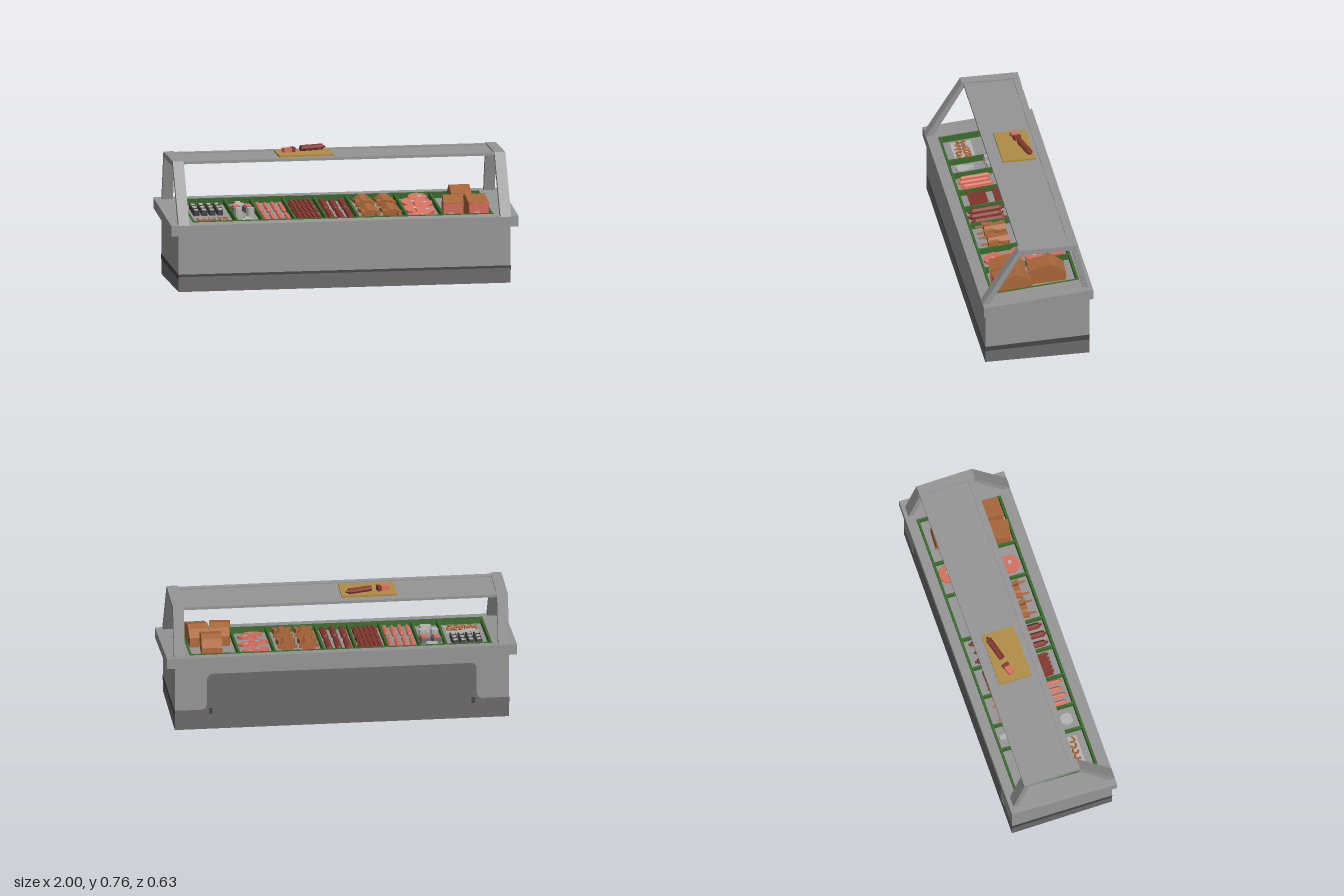
import * as THREE from 'three';

const mat = (name, color) => {
  const m = new THREE.MeshStandardMaterial({ color, flatShading: true });
  m.name = name;
  return m;
};
const M = {
  steel: mat('steel grey', 0x959595),
  base: mat('dark grey', 0x6b6969),
  black: mat('charcoal', 0x464444),
  green: mat('green edging', 0x3a6a2c),
  wood: mat('board wood', 0xb08c46),
  brown: mat('roast brown', 0xa8663a),
  red: mat('dark red meat', 0x84382f),
  pink: mat('pink meat', 0xd8705f),
  pale: mat('pale grey', 0xb4b4b2),
};
const SLOPE = 0.089; // the counter top falls towards the front
const FLOOR = -0.034;

function add(parent, name, geo, material, x = 0, y = 0, z = 0, ry = 0) {
  const m = new THREE.Mesh(geo, material);
  m.name = name;
  m.position.set(x, y, z);
  m.rotation.y = ry;
  parent.add(m);
  return m;
}
const box = (w, h, d) => new THREE.BoxGeometry(w, h, d);
const shapeOf = (pts) => new THREE.Shape(pts.map(([a, b]) => new THREE.Vector2(a, b)));

// extrude a [z, y] side profile along x, from x0 to x1
function sideExtrude(pts, x0, x1) {
  const g = new THREE.ExtrudeGeometry(shapeOf(pts.map(([z, y]) => [-z, y])), { depth: x1 - x0, bevelEnabled: false });
  return g.rotateY(Math.PI / 2).translate(x0, 0, 0);
}
// extrude a flat [x, z] outline upwards
function flatExtrude(shape, h) {
  return new THREE.ExtrudeGeometry(shape, { depth: h, bevelEnabled: false, curveSegments: 8 }).rotateX(-Math.PI / 2);
}
function group(parent, name, x = 0, y = 0, z = 0, ry = 0) {
  const g = new THREE.Group();
  g.name = name;
  g.position.set(x, y, z);
  g.rotation.y = ry;
  parent.add(g);
  return g;
}

function buildCabinet(root) {
  add(root, 'base', sideExtrude([[0.3, 0], [0.3, 0.1], [-0.3, 0.118], [-0.3, 0]], -0.955, 0.955), M.base);
  add(root, 'cabinetBody', sideExtrude([[0.3, 0.1], [0.3, 0.328], [-0.3, 0.381], [-0.3, 0.118]], -0.955, 0.955), M.steel);
  for (const x of [-0.957, 0.955])
    add(root, 'sideStripe', sideExtrude([[0.3, 0.073], [0.3, 0.1], [-0.3, 0.118], [-0.3, 0.087]], x, x + 0.002), M.black);
  add(root, 'frontStripe', box(1.91, 0.014, 0.002), M.black, 0, 0.093, 0.301);

  // rear service panel: rounded top, flared foot
  const s = new THREE.Shape();
  s.moveTo(-0.82, 0.112);
  s.quadraticCurveTo(-0.77, 0.115, -0.77, 0.16);
  s.lineTo(-0.77, 0.295);
  s.quadraticCurveTo(-0.77, 0.335, -0.73, 0.335);
  s.lineTo(0.73, 0.335);
  s.quadraticCurveTo(0.77, 0.335, 0.77, 0.295);
  s.lineTo(0.77, 0.16);
  s.quadraticCurveTo(0.77, 0.115, 0.82, 0.112);
  add(root, 'rearPanel', new THREE.ExtrudeGeometry(s, { depth: 0.003, bevelEnabled: false }), M.base, 0, 0, -0.303);
  for (const x of [-0.75, 0.75]) add(root, 'rearLatch', box(0.02, 0.035, 0.008), M.black, x, 0.11, -0.303);

  // sloping rim with an open middle
  const rim = shapeOf([[-1, -0.315], [1, -0.315], [1, 0.315], [-1, 0.315]]);
  rim.holes.push(new THREE.Path([[-0.865, -0.25], [-0.865, 0.257], [0.865, 0.257], [0.865, -0.25]].map((p) => new THREE.Vector2(...p))));
  const g = flatExtrude(rim, 0.06).translate(0, 0.353, 0);
  const p = g.attributes.position;
  for (let i = 0; i < p.count; i++) p.setY(i, p.getY(i) - SLOPE * p.getZ(i));
  g.computeVertexNormals();
  add(root, 'rim', g, M.steel);
}

function buildCanopy(root) {
  const arch = [[0.316, 0.383], [0.107, 0.72], [-0.225, 0.72], [-0.295, 0.43],
    [-0.265, 0.43], [-0.2, 0.69], [0.095, 0.69], [0.272, 0.387]];
  for (const x of [-0.957, 0.895]) add(root, 'archPost', sideExtrude(arch, x, x + 0.062), M.steel);
  add(root, 'shelf', box(1.8, 0.01, 0.315), M.steel, 0, 0.706, -0.061);
  for (const z of [0.08, -0.205]) add(root, 'shelfRail', box(1.8, 0.016, 0.036), M.steel, 0, 0.708, z);

  // board with sausage and cut pieces
  const b = group(root, 'cuttingBoard', -0.173, 0.711, -0.068);
  add(b, 'board', box(0.315, 0.011, 0.19), M.wood, 0, 0.0055, 0);
  const roll = group(b, 'slicingSausage', 0.05, 0.027, -0.05, 0.27);
  add(roll, 'sausageBody', new THREE.CylinderGeometry(0.018, 0.018, 0.135, 8).rotateZ(Math.PI / 2), M.red);
  add(roll, 'sausageTip', new THREE.CylinderGeometry(0.005, 0.012, 0.02, 6).rotateZ(-Math.PI / 2), M.red, 0.076, 0, 0);
  add(b, 'cutPiece', box(0.05, 0.024, 0.035), M.pink, -0.095, 0.023, -0.015, 0.35);
  add(b, 'cutPiece', box(0.022, 0.026, 0.04), M.red, -0.062, 0.024, -0.026, 0.25);
}

function sausage(parent, x, z, r, len, material) {
  const s = group(parent, 'sausage', x, FLOOR + r, z);
  add(s, 'sausageBody', new THREE.CapsuleGeometry(r, len - 2 * r, 2, 7).rotateX(Math.PI / 2), material);
  for (const e of [-1, 1]) add(s, 'sausageKnot', box(r * 0.6, r * 0.6, 0.012), material, 0, 0, e * (len / 2 + 0.003));
}

function chicken(parent, x, z) {
  const c = group(parent, 'roastChicken', x, FLOOR, z);
  const body = new THREE.CylinderGeometry(0.032, 0.045, 0.12, 7).rotateX(Math.PI / 2).scale(1, 0.75, 1);
  add(c, 'chickenBody', body, M.brown, 0, 0.034, -0.01);
  for (const e of [-1, 1]) {
    add(c, 'chickenThigh', box(0.024, 0.03, 0.06), M.brown, e * 0.038, 0.033, 0.025, e * 0.2);
    add(c, 'chickenLeg', new THREE.CylinderGeometry(0.006, 0.008, 0.05, 5).rotateX(Math.PI / 2), M.brown, e * 0.036, 0.033, 0.07);
    add(c, 'chickenWing', box(0.018, 0.02, 0.045), M.brown, e * 0.042, 0.03, -0.04, -e * 0.3);
  }
}

function roast(parent, x, z, ry) {
  const r = group(parent, 'roastJoint', x, FLOOR, z, ry);
  const profile = [[0.1, 0], [0.1, 0.093], [-0.02, 0.115], [-0.06, 0.095], [-0.105, 0.055], [-0.105, 0]];
  add(r, 'joint', sideExtrude(profile, -0.058, 0.058), M.brown);
  add(r, 'cutFace', box(0.112, 0.09, 0.003), M.pink, 0, 0.046, 0.101);
  add(r, 'bone', box(0.03, 0.025, 0.002), M.pale, -0.01, 0.03, 0.103);
}

function buildTray(root) {
  const t = group(root, 'displayTray', 0, 0.412, 0);
  t.rotation.x = Math.atan(SLOPE);
  add(t, 'trayFloor', box(1.73, 0.008, 0.508), M.steel, 0, FLOOR - 0.004, -0.003);
  for (const z of [-0.25, 0.243]) add(t, 'edging', box(1.73, 0.036, 0.013), M.green, 0, -0.014, z);
  for (const x of [-0.858, -0.605, -0.455, -0.27, -0.09, 0.095, 0.375, 0.58, 0.858])
    add(t, 'divider', box(0.013, 0.034, 0.49), M.green, x, -0.015, -0.003);

  // shrimps on a plate, with small dark packs behind
  add(t, 'plate', box(0.19, 0.008, 0.12), M.pale, -0.73, FLOOR + 0.004, 0.135);
  for (let i = 0; i < 10; i++) {
    const curl = new THREE.TorusGeometry(0.015, 0.007, 5, 7, 4.2).rotateX(Math.PI / 2);
    add(t, 'shrimp', curl, M.brown, -0.8 + (i % 5) * 0.035, FLOOR + 0.015, 0.115 + Math.floor(i / 5) * 0.045, i * 0.7);
  }
  for (let i = 0; i < 12; i++) {
    const x = -0.8 + (i % 4) * 0.045, z = -0.15 + Math.floor(i / 4) * 0.06;
    add(t, 'darkPack', box(0.032, 0.03, 0.04), M.black, x, FLOOR + 0.015, z, 0.1);
    add(t, 'packLid', box(0.02, 0.004, 0.026), M.pale, x, FLOOR + 0.032, z, 0.1);
  }

  // pale fish and cans, with cut pieces
  const fish = shapeOf([[-0.022, -0.05], [0.022, -0.05], [0.035, -0.03], [0.03, 0], [0.012, 0.025], [0.016, 0.05], [-0.016, 0.05], [-0.012, 0.025], [-0.03, 0], [-0.035, -0.03]]);
  for (const z of [0.155, -0.18]) add(t, 'fish', flatExtrude(fish, 0.022), M.pale, -0.53, FLOOR, z);
  for (const x of [-0.565, -0.495]) {
    const can = add(t, 'ribbedCan', new THREE.CylinderGeometry(0.022, 0.022, 0.05, 8), M.pale, x, FLOOR + 0.025, 0.02);
    can.rotation.x = -0.1;
    add(t, 'greyTub', box(0.05, 0.03, 0.06), M.base, x, FLOOR + 0.015, -0.075, 0.2);
    add(t, 'tubMeat', box(0.036, 0.012, 0.044), M.pink, x, FLOOR + 0.034, -0.075, 0.2);
  }

  // sausages, thin pink and thick dark
  for (const z of [0.12, -0.11]) {
    for (let i = 0; i < 4; i++) sausage(t, -0.425 + i * 0.043, z + (i % 2) * 0.012, 0.014, 0.175, M.pink);
    for (let i = 0; i < 3; i++) sausage(t, -0.053 + i * 0.055, z + (i % 2) * 0.012, 0.019, 0.19, M.red);
  }

  // ribs
  for (const z of [0.145, 0.0, -0.145]) {
    add(t, 'ribSlab', box(0.135, 0.024, 0.09), M.red, -0.18, FLOOR + 0.012, z, 0.04);
    for (let i = 0; i < 5; i++) add(t, 'rib', box(0.014, 0.012, 0.105), M.red, -0.232 + i * 0.026, FLOOR + 0.028, z, 0.04);
  }

  for (const x of [0.172, 0.295]) for (const z of [0.12, -0.09]) chicken(t, x, z);

  // overlapping round steaks with bone
  [[0.46, 0.17], [0.5, 0.09], [0.44, 0.02], [0.51, -0.06], [0.45, -0.13], [0.5, -0.19]].forEach(([x, z], i) => {
    const s = add(t, 'steak', new THREE.CylinderGeometry(0.056, 0.056, 0.014, 10), M.pink, x, FLOOR + 0.014 + (i % 2) * 0.01, z);
    s.rotation.x = 0.12;
    add(s, 'steakBone', new THREE.CylinderGeometry(0.013, 0.013, 0.003, 6), M.pale, 0.01, 0.008, 0);
  });

  roast(t, 0.652, 0.12, -0.12);
  roast(t, 0.782, 0.115, 0.05);
  roast(t, 0.725, -0.095, -0.05);
}

export function createModel() {
  const root = new THREE.Group();
  root.name = 'butcherCounter';
  buildCabinet(root);
  buildCanopy(root);
  buildTray(root);
  return root;
}
